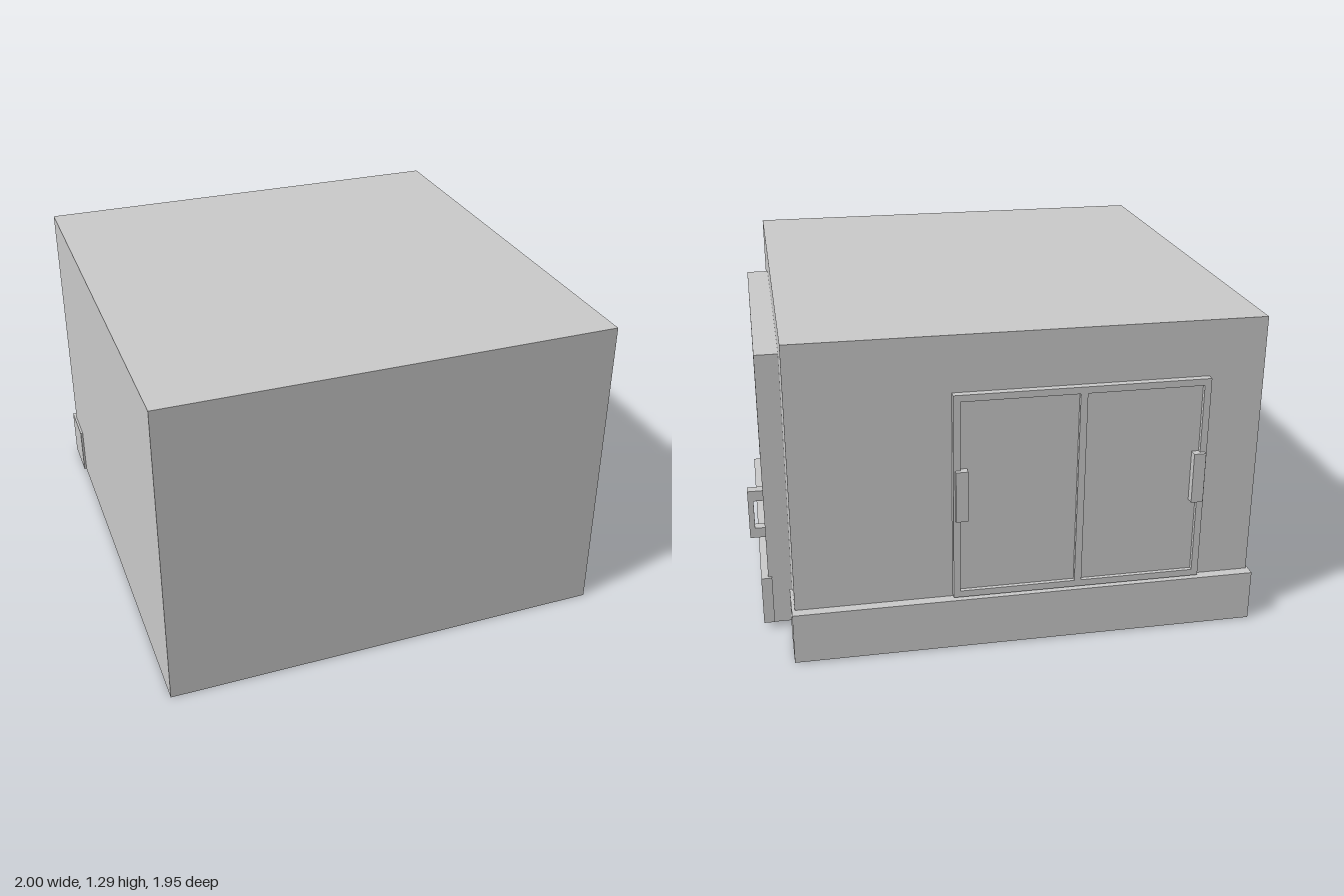
import * as THREE from 'three';

const material = new THREE.MeshStandardMaterial({ color: 0xcccccc, flatShading: true });

// Box given by its minimum and maximum corners
function box(name, [x0, y0, z0], [x1, y1, z1]) {
  const mesh = new THREE.Mesh(new THREE.BoxGeometry(x1 - x0, y1 - y0, z1 - z0), material);
  mesh.position.set((x0 + x1) / 2, (y0 + y1) / 2, (z0 + z1) / 2);
  mesh.name = name;
  return mesh;
}

// Outline in the drawing plane, extruded by depth
function extrude(name, points, holes, depth) {
  const toVectors = (list) => list.map(([x, y]) => new THREE.Vector2(x, y));
  const shape = new THREE.Shape(toVectors(points));
  for (const hole of holes) shape.holes.push(new THREE.Path(toVectors(hole)));
  const mesh = new THREE.Mesh(
    new THREE.ExtrudeGeometry(shape, { depth, bevelEnabled: false }), material);
  mesh.name = name;
  return mesh;
}

const rect = (x0, y0, x1, y1) => [[x0, y0], [x1, y0], [x1, y1], [x0, y1]];

function createDoor() {
  const door = new THREE.Group();
  door.name = 'door';
  door.add(box('doorLeaf', [0.845, 0.022, -0.688], [0.94, 1.177, 0.467]));
  door.add(box('kickPlate', [0.925, 0.028, -0.70], [0.968, 0.232, 0.483]));
  // C-shaped pull handle
  const handle = extrude('doorHandle', [
    [0.94, 0.378], [1.0, 0.378], [1.0, 0.584], [0.94, 0.584],
    [0.94, 0.54], [0.978, 0.54], [0.978, 0.42], [0.94, 0.42],
  ], [], 0.04);
  handle.position.z = -0.62;
  door.add(handle);
  return door;
}

function createWindow() {
  const group = new THREE.Group();
  group.name = 'slidingWindow';
  // Frame with two openings
  const frame = extrude('windowFrame', rect(-0.77, 0.22, 0.23, 1.07), [
    rect(-0.743, 0.247, -0.284, 1.043),
    rect(-0.256, 0.247, 0.203, 1.043),
  ], 0.03);
  frame.position.z = -0.962;
  group.add(frame);
  // Recessed panes and their grips
  group.add(box('rightPane', [-0.75, 0.24, -0.945], [-0.27, 1.05, -0.925]));
  group.add(box('leftPane', [-0.27, 0.24, -0.945], [0.21, 1.05, -0.925]));
  group.add(box('rightGrip', [-0.763, 0.557, -0.978], [-0.715, 0.765, -0.94]));
  group.add(box('leftGrip', [0.175, 0.557, -0.978], [0.223, 0.765, -0.94]));
  return group;
}

export function createModel() {
  const model = new THREE.Group();
  model.name = 'coldRoom';
  model.add(box('body', [-0.99, 0, -0.932], [0.848, 1.295, 0.975]));

  // Skirting across the back, wrapping around both corners
  const skirting = extrude('skirting', [
    [-1.0, 0.765], [-1.0, 0.973], [0.86, 0.973], [0.86, 0.765],
    [0.848, 0.765], [0.848, 0.932], [-0.99, 0.932], [-0.99, 0.765],
  ], [], 0.209);
  skirting.rotation.x = -Math.PI / 2;
  skirting.position.y = 0.003;
  model.add(skirting);

  model.add(createDoor(), createWindow());
  return model;
}
